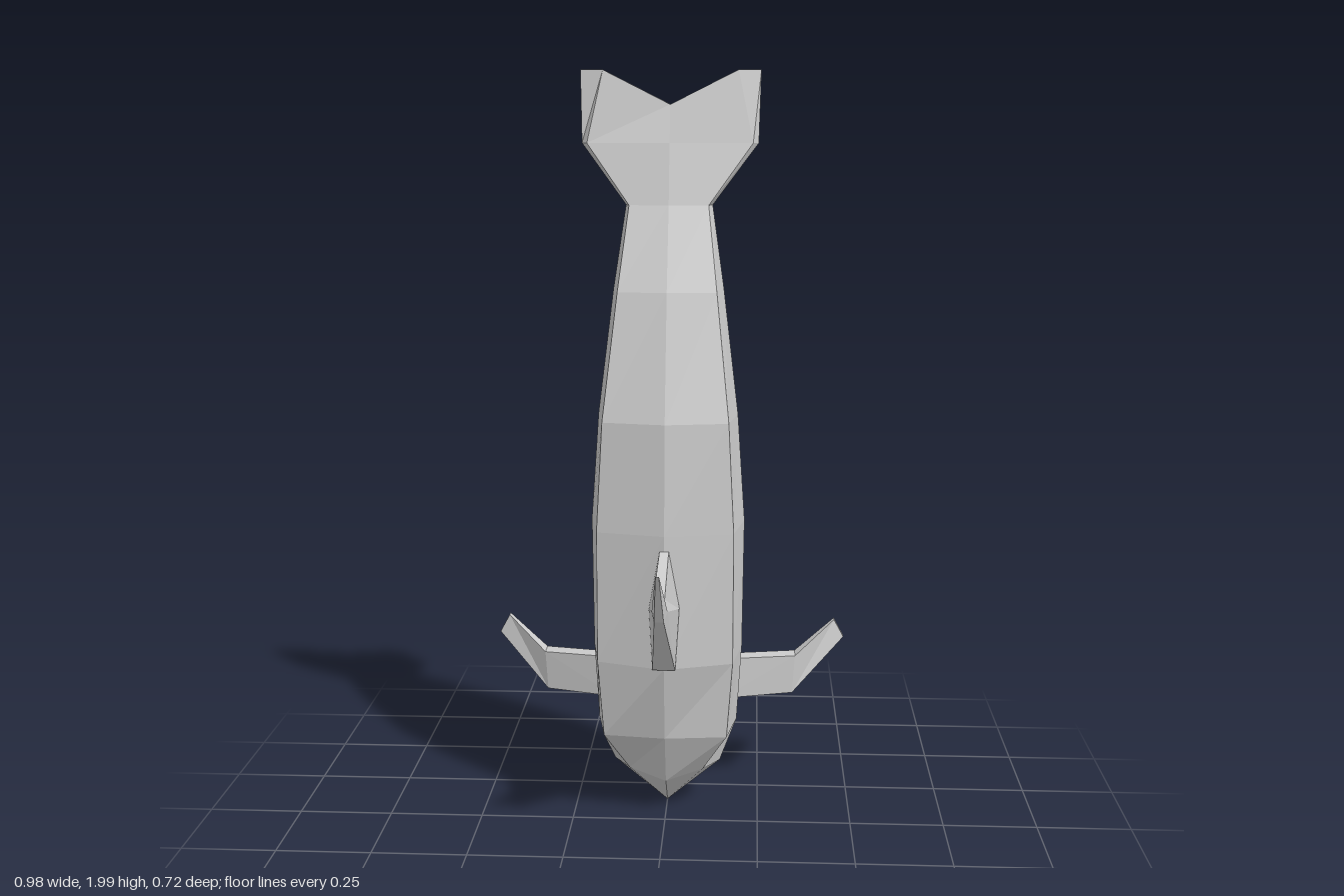
import * as THREE from 'three';

const V = (x, y, z) => new THREE.Vector3(x, y, z);
const material = new THREE.MeshStandardMaterial({ color: 0xcccccc, flatShading: true });

// Joins closed rings of points into a faceted solid with both ends capped
function loft(name, rings) {
  const n = rings[0].length, tris = [];
  const add = (a, b, c) => {
    const area = b.clone().sub(a).cross(c.clone().sub(a)).length();
    if (area > 1e-8) tris.push([a, b, c]);
  };
  for (let i = 0; i < rings.length - 1; i++) {
    for (let j = 0; j < n; j++) {
      const k = (j + 1) % n, lo = rings[i], hi = rings[i + 1];
      add(lo[j], lo[k], hi[k]);
      add(lo[j], hi[k], hi[j]);
    }
  }
  [rings[0], rings[rings.length - 1]].forEach((ring, end) => {
    const mid = ring[0].clone().add(ring[n / 2]).multiplyScalar(0.5);
    for (let j = 0; j < n; j++) {
      const k = (j + 1) % n;
      if (end) add(mid, ring[j], ring[k]);
      else add(mid, ring[k], ring[j]);
    }
  });
  // Signed volume tells whether the faces point outwards
  const volume = tris.reduce((s, [a, b, c]) => s + a.dot(b.clone().cross(c)), 0);
  if (volume < 0) tris.forEach((t) => t.reverse());
  const geometry = new THREE.BufferGeometry().setFromPoints(tris.flat());
  geometry.computeVertexNormals();
  const mesh = new THREE.Mesh(geometry, material);
  mesh.name = name;
  return mesh;
}

// Eight-sided symmetric ring: front ridge, front corner, side, back corner, back ridge
function bodyRing([y, zFront, xf, zf, xs, zs, xb, zb, zBack, yFront = y, yBack = y]) {
  return [
    V(0, yFront, zFront), V(xf, y, zf), V(xs, y, zs), V(xb, y, zb),
    V(0, yBack, zBack), V(-xb, y, zb), V(-xs, y, zs), V(-xf, y, zf),
  ];
}

// Six-sided fin section: lower edge, middle and upper edge, each as [halfWidth, y, z]
const finRing = (a, b, c) => [
  ...[a, b, c].map(([x, y, z]) => V(x, y, z)),
  ...[c, b, a].map(([x, y, z]) => V(-x, y, z)),
];

export function createModel() {
  const group = new THREE.Group();
  group.name = 'whale';

  // Body and tail fluke, from the snout up
  group.add(loft('bodyAndTail', [
    [0.01, -0.14, 0, -0.14, 0, -0.14, 0, -0.14, -0.14],
    [0.13, -0.05, 0.10, -0.07, 0.145, -0.14, 0.10, -0.22, -0.245, 0.10, 0.06],
    [0.245, 0.01, 0.165, -0.01, 0.19, -0.155, 0.165, -0.29, -0.33],
    [0.455, 0.06, 0.18, 0, 0.203, -0.16, 0.18, -0.31, -0.355],
    [0.81, 0.04, 0.18, 0, 0.207, -0.16, 0.18, -0.31, -0.355],
    [1.10, 0.015, 0.165, -0.015, 0.187, -0.165, 0.165, -0.295, -0.33],
    [1.43, -0.085, 0.13, -0.10, 0.147, -0.19, 0.135, -0.272, -0.29],
    [1.65, -0.185, 0.105, -0.193, 0.115, -0.225, 0.11, -0.255, -0.262],
    [1.81, -0.23, 0.22, -0.243, 0.235, -0.265, 0.22, -0.292, -0.30],
    [2.0, -0.268, 0.18, -0.283, 0.24, -0.29, 0.18, -0.297, -0.31, 1.91, 1.91],
  ].map(bodyRing)));

  // Dorsal fin swept towards the tail
  group.add(loft('dorsalFin', [
    finRing([0.03, 0.455, 0.03], [0.04, 0.62, 0.02], [0.012, 0.77, 0.02]),
    finRing([0.03, 0.455, 0.062], [0.04, 0.62, 0.05], [0.012, 0.77, 0.045]),
    finRing([0.012, 0.655, 0.285], [0.02, 0.672, 0.25], [0.01, 0.69, 0.205]),
    finRing([0.004, 0.793, 0.36], [0.005, 0.79, 0.356], [0.004, 0.785, 0.35]),
  ]));

  // Bent side flippers, each section as [lower x, y, upper x, y, front z, back z]
  const flipper = [
    [0.15, 0.29, 0.15, 0.405, -0.19, -0.24],
    [0.345, 0.288, 0.352, 0.396, -0.255, -0.307],
    [0.49, 0.43, 0.463, 0.48, -0.332, -0.352],
  ];
  for (const s of [1, -1]) {
    group.add(loft(s > 0 ? 'leftFlipper' : 'rightFlipper',
      flipper.map(([xl, yl, xu, yu, zf, zb]) => [
        V(s * xl, yl, zf), V(s * xu, yu, zf), V(s * xu, yu, zb), V(s * xl, yl, zb),
      ])));
  }
  return group;
}
